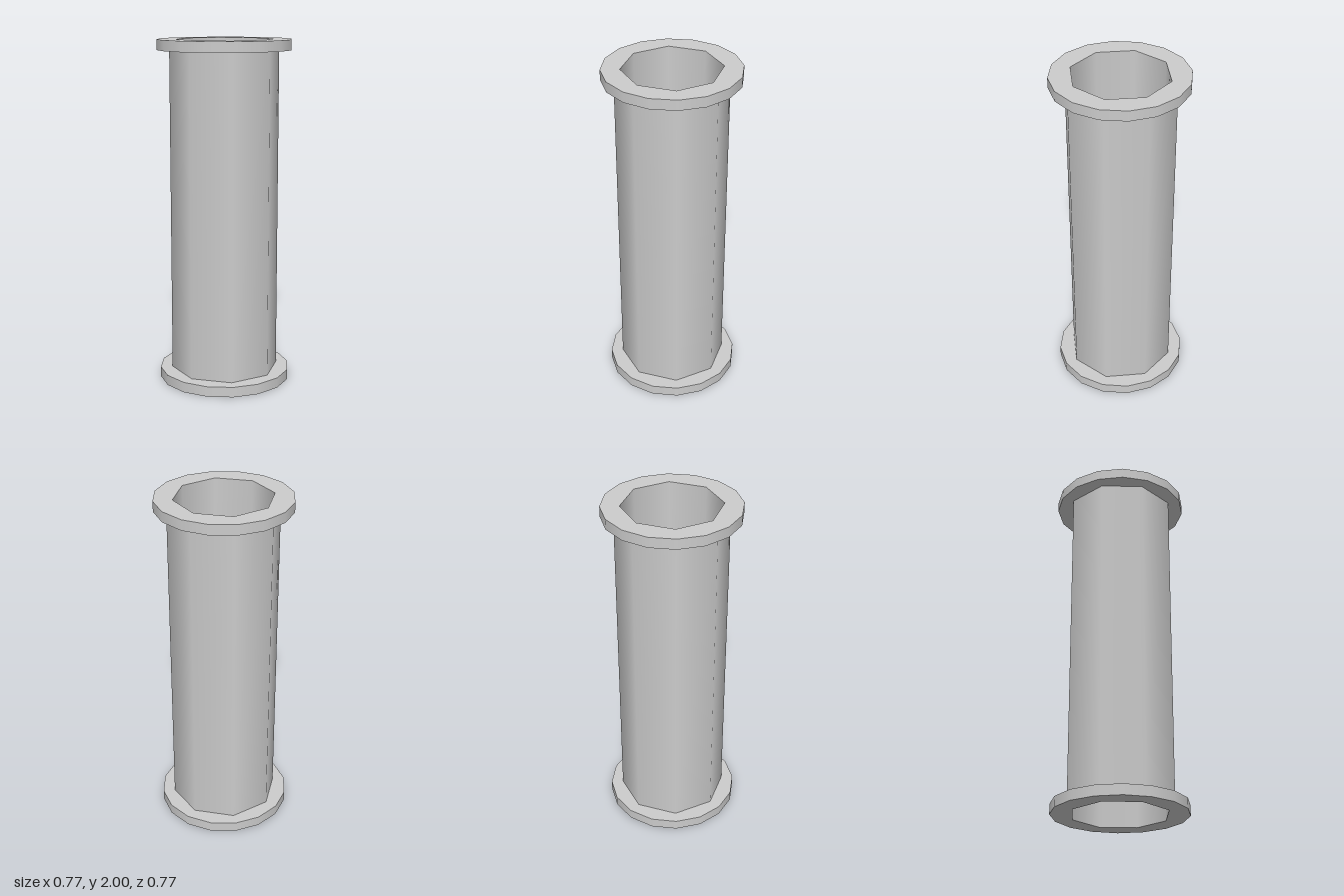
import * as THREE from 'three';

const HEIGHT = 2, FLANGE_T = 0.06;
const FLANGE_R = 0.386, PIPE_R = 0.315, BORE_R = 0.28;
const FLANGE_SIDES = 16, PIPE_SIDES = 8;

const outside = new THREE.MeshStandardMaterial({ color: 0xcccccc });
const inside = new THREE.MeshStandardMaterial({ color: 0xcccccc, side: THREE.BackSide });

// Corners of a regular polygon with a corner on each axis
function polygon(radius, sides) {
  return Array.from({ length: sides }, (_, i) => {
    const a = (i / sides) * Math.PI * 2;
    return new THREE.Vector2(Math.cos(a) * radius, Math.sin(a) * radius);
  });
}

// Open, smooth-shaded wall
function wall(name, radius, height, sides, material) {
  const mesh = new THREE.Mesh(
    new THREE.CylinderGeometry(radius, radius, height, sides, 1, true), material);
  mesh.name = name;
  return mesh;
}

// Sixteen-sided ring with an eight-sided hole
function flange(name, y) {
  const group = new THREE.Group();
  group.name = name;
  const shape = new THREE.Shape(polygon(FLANGE_R, FLANGE_SIDES));
  shape.holes.push(new THREE.Path(polygon(BORE_R, PIPE_SIDES)));
  for (const side of [1, -1]) {
    const face = new THREE.Mesh(new THREE.ShapeGeometry(shape), outside);
    face.name = side > 0 ? 'upperFace' : 'lowerFace';
    face.rotation.x = -side * Math.PI / 2;
    face.position.y = side * FLANGE_T / 2;
    group.add(face);
  }
  group.add(wall('rim', FLANGE_R, FLANGE_T, FLANGE_SIDES, outside));
  group.add(wall('lip', BORE_R, FLANGE_T, PIPE_SIDES, inside));
  group.position.y = y;
  return group;
}

export function createModel() {
  const model = new THREE.Group();
  model.name = 'flangedPipe';

  // Pipe: outer wall and bore between the flanges
  const pipe = new THREE.Group();
  pipe.name = 'pipe';
  const length = HEIGHT - 2 * FLANGE_T;
  pipe.add(wall('outerWall', PIPE_R, length, PIPE_SIDES, outside));
  pipe.add(wall('bore', BORE_R, length, PIPE_SIDES, inside));
  pipe.position.y = HEIGHT / 2;
  model.add(pipe);

  // End flanges
  model.add(flange('bottomFlange', FLANGE_T / 2));
  model.add(flange('topFlange', HEIGHT - FLANGE_T / 2));
  return model;
}
